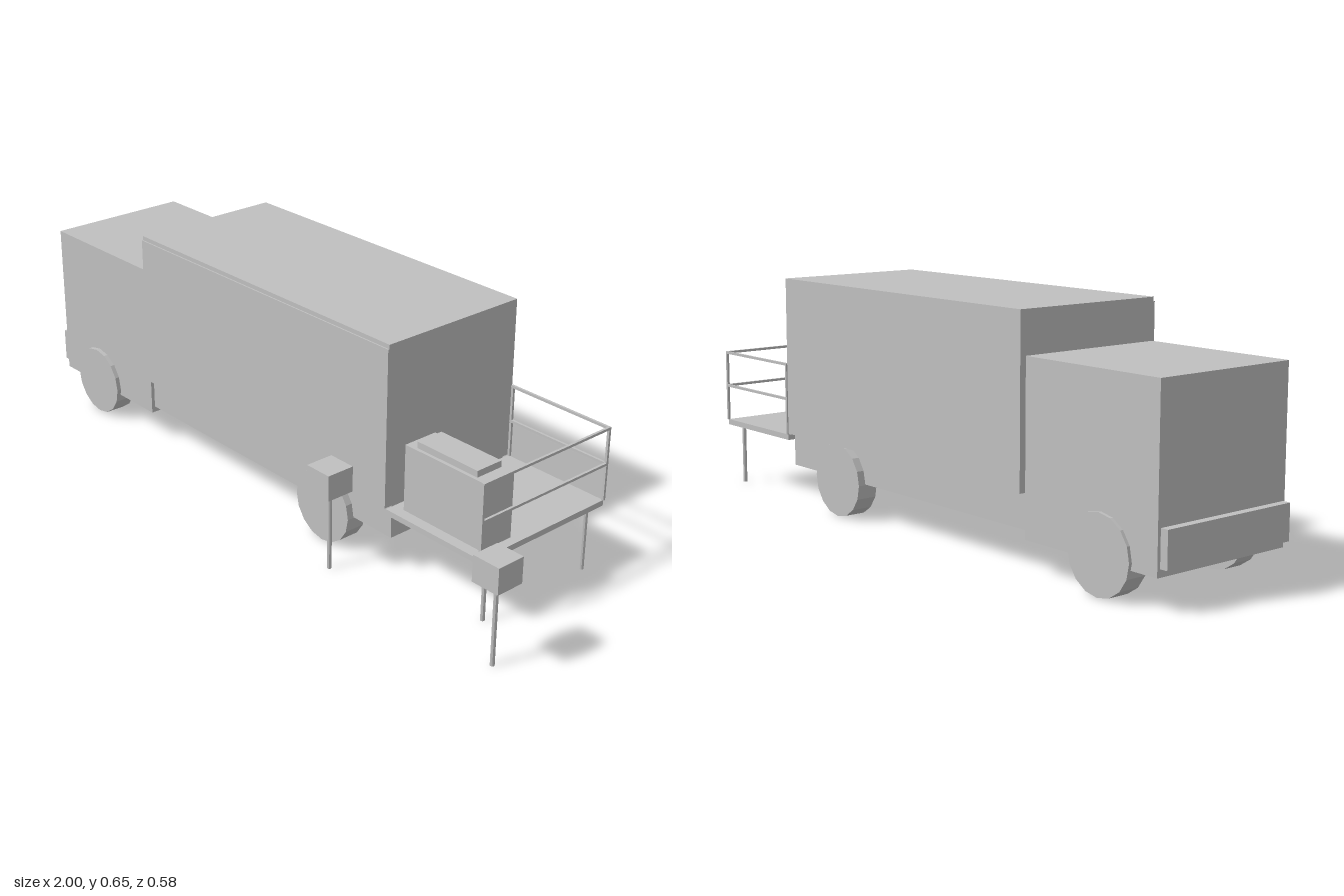
import * as THREE from 'three';

export function createModel() {
  const model = new THREE.Group();
  const grey = new THREE.MeshStandardMaterial({ color: 0xc0c0c0 });
  grey.name = 'plain grey';
  grey.flatShading = true;

  const add = (name, geometry, x, y, z, parent = model) => {
    const mesh = new THREE.Mesh(geometry, grey);
    mesh.name = name;
    mesh.position.set(x, y, z);
    parent.add(mesh);
    return mesh;
  };
  // Box given by its limits on each axis
  const box = (name, [x0, x1], [y0, y1], [z0, z1], parent) =>
    add(name, new THREE.BoxGeometry(x1 - x0, y1 - y0, z1 - z0),
      (x0 + x1) / 2, (y0 + y1) / 2, (z0 + z1) / 2, parent);
  // Upright round pole standing on the ground
  const pole = (name, x, z, height, parent) =>
    add(name, new THREE.CylinderGeometry(0.006, 0.006, height, 8), x, height / 2, z, parent);

  const sides = [-0.286, 0.168];

  // Truck body
  box('cab', [-0.978, -0.53], [0.085, 0.54], [-0.277, 0.155]);
  box('bumper', [-1, -0.978], [0.105, 0.2], [-0.268, 0.15]);
  box('chassis', [-0.525, 0.5], [0.105, 0.2], [-0.264, 0.148]);
  box('cargoBox', [-0.52, 0.5], [0.2, 0.652], sides);
  box('sidePanel', [-0.52, 0.5], [0.2, 0.64], [0.168, 0.172]);

  // Wheels
  const wheelGeometry = new THREE.CylinderGeometry(0.103, 0.103, 0.061, 16).rotateX(Math.PI / 2);
  for (const x of [-0.795, 0.255])
    for (const z of [-0.2555, 0.1375]) add('wheel', wheelGeometry, x, 0.103, z);

  // Rear platform on two legs
  const platform = new THREE.Group();
  platform.name = 'platform';
  model.add(platform);
  box('deck', [0.5, 0.83], [0.181, 0.197], sides, platform);
  for (const z of [-0.245, 0.127]) pole('platformLeg', 0.81, z, 0.181, platform);

  // Railing along the back and end, open at the front
  const t = 0.0035, railX = 0.83, backZ = -0.286, frontZ = 0.168;
  for (const [x, z] of [[0.504, backZ], [railX, backZ], [railX, frontZ]])
    box('railPost', [x - t, x + t], [0.197, 0.405], [z - t, z + t], platform);
  for (const y of [0.302, 0.403]) {
    box('backRail', [0.5, railX], [y - t, y + t], [backZ - t, backZ + t], platform);
    box('endRail', [railX - t, railX + t], [y - t, y + t], [backZ - t, frontZ + t], platform);
  }

  // Equipment cabinet on the platform
  box('cabinet', [0.533, 0.803], [0.197, 0.383], [0.033, 0.137], platform);
  box('cabinetCap', [0.565, 0.77], [0.383, 0.401], [0.044, 0.127], platform);

  // Free-standing posts with box heads
  for (const x of [0.378, 0.959]) {
    pole('standPole', x, 0.25, 0.229);
    box('standHead', [x - 0.041, x + 0.041], [0.229, 0.301], [0.209, 0.291]);
  }
  return model;
}
